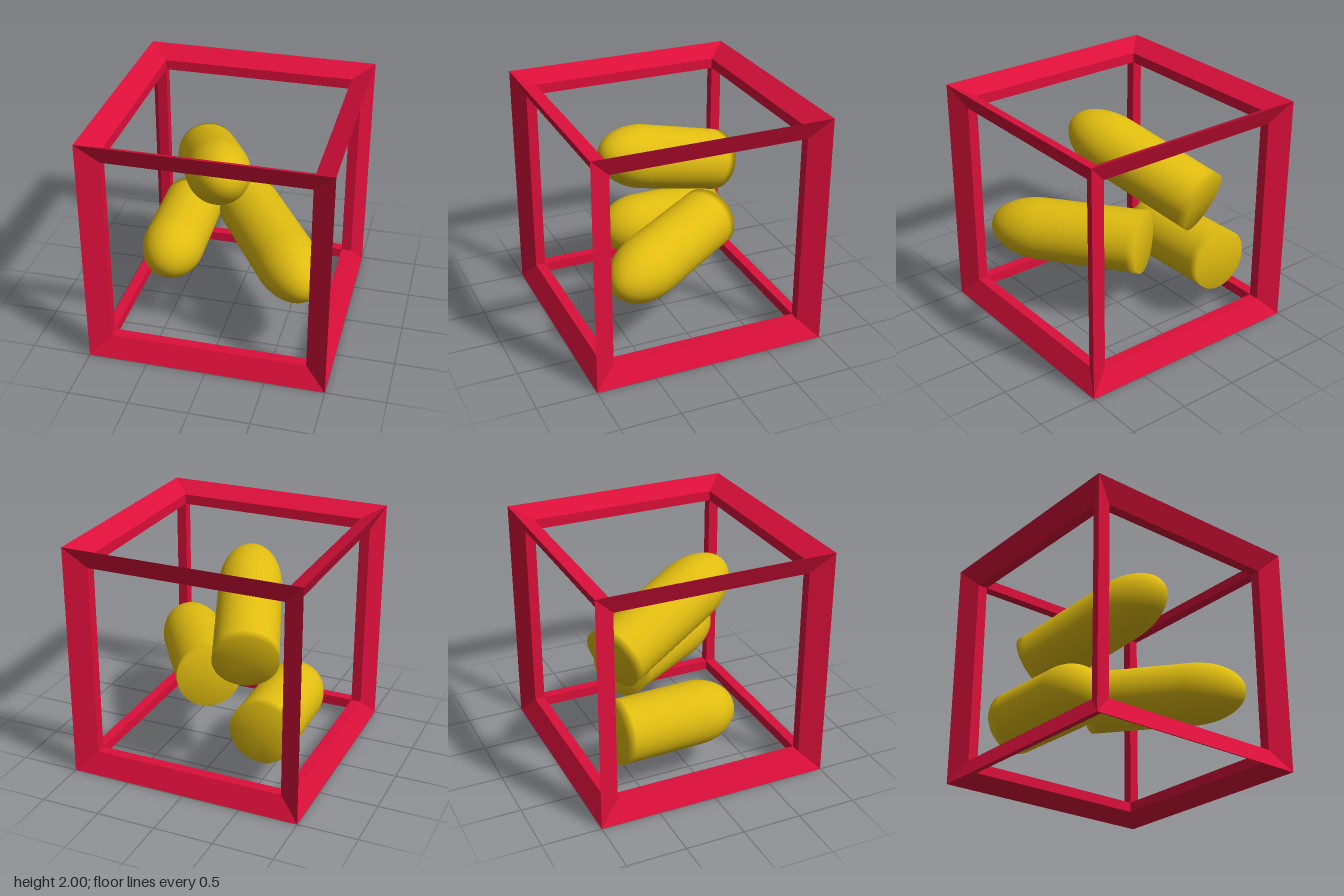
import * as THREE from 'three';
import { mergeGeometries } from 'three/addons/utils/BufferGeometryUtils.js';

const red = new THREE.MeshStandardMaterial({ name: 'crimson', color: 0xdc0f3a });
const yellow = new THREE.MeshStandardMaterial({ name: 'mustardYellow', color: 0xe0bc10 });

const OUTER = 1, INNER = 0.825, RECESS = 0.9125; // frame half sizes
const RADIUS = 0.267;

// One side of the open cube: four sloping mitred strips and the walls behind them
function frameSideGeometry() {
  const a = OUTER, i = INNER, h = RECESS;
  const strip = new THREE.BufferGeometry();
  strip.setAttribute('position', new THREE.Float32BufferAttribute([
    -a, a, a, -i, i, h, i, i, h, a, a, a, // sloping face
    -i, i, h, -i, i, i, i, i, i, i, i, h, // inner wall
  ], 3));
  strip.setIndex([0, 1, 2, 0, 2, 3, 4, 5, 6, 4, 6, 7]);
  strip.computeVertexNormals();
  const strips = [];
  for (let k = 0; k < 4; k++) strips.push(strip.clone().rotateZ(k * Math.PI / 2));
  return mergeGeometries(strips);
}

function createFrame() {
  const frame = new THREE.Group();
  frame.name = 'cubeFrame';
  const geometry = frameSideGeometry();
  const q = Math.PI / 2;
  const sides = {
    front: [0, 0], left: [0, q], back: [0, 2 * q], right: [0, -q], top: [-q, 0], bottom: [q, 0],
  };
  for (const [name, [rx, ry]] of Object.entries(sides)) {
    const side = new THREE.Mesh(geometry, red);
    side.name = name + 'FrameSide';
    side.rotation.set(rx, ry, 0);
    frame.add(side);
  }
  frame.position.y = OUTER;
  return frame;
}

// A round-nosed cylinder from the centre of its back to the centre of its nose base
function createCapsule(name, back, noseBase, noseLength) {
  const start = new THREE.Vector3(...back);
  const axis = new THREE.Vector3(...noseBase).sub(start);
  const length = axis.length();
  const capsule = new THREE.Group();
  capsule.name = name;

  const bodyProfile = [[0, 0], [RADIUS, 0], [RADIUS, 0.08], [RADIUS, length]]
    .map(([x, y]) => new THREE.Vector2(x, y));
  const body = new THREE.Mesh(new THREE.LatheGeometry(bodyProfile, 64), yellow);
  body.name = 'body';

  const nose = new THREE.Mesh(
    new THREE.SphereGeometry(RADIUS, 64, 24, 0, Math.PI * 2, 0, Math.PI / 2), yellow);
  nose.name = 'nose';
  nose.geometry.scale(1, noseLength / RADIUS, 1);
  nose.position.y = length;

  capsule.add(body, nose);
  capsule.position.copy(start);
  capsule.quaternion.setFromUnitVectors(new THREE.Vector3(0, 1, 0), axis.normalize());
  return capsule;
}

export function createModel() {
  const model = new THREE.Group();
  model.name = 'framedCapsules';
  model.add(
    createFrame(),
    createCapsule('lowerCapsule', [-0.56, 0.557, -0.7], [-0.54, 0.557, 0.015], 0.36),
    createCapsule('upperCapsule', [-0.4, 1.135, -0.645], [-0.1, 1.43, 0.15], 0.46),
    createCapsule('middleCapsule', [0.03, 0.805, -0.4], [0.53, 0.772, 0.35], 0.46),
  );
  return model;
}
